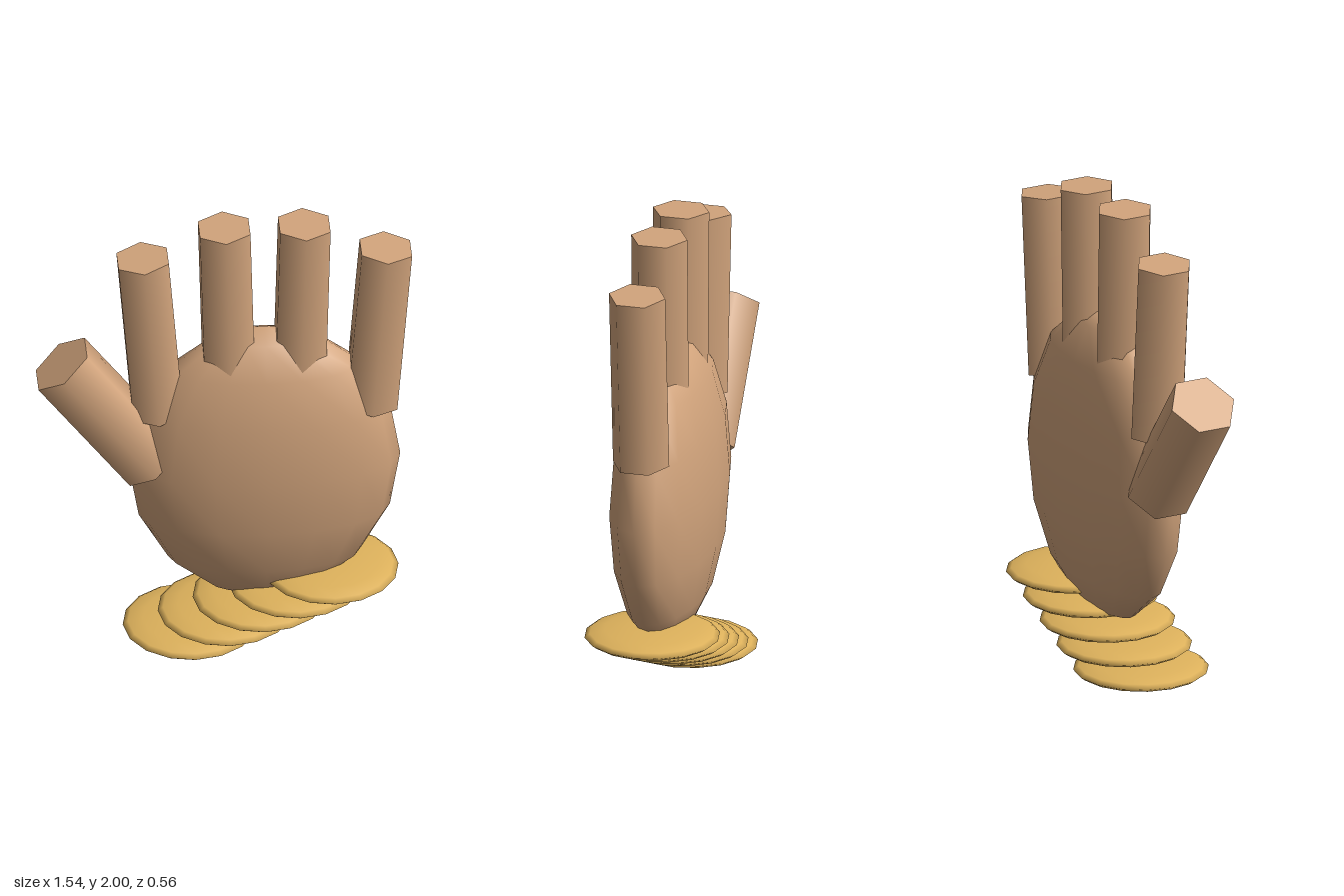
import * as THREE from 'three';

export function createModel() {
  const model = new THREE.Group();
  model.name = 'hand';

  const skin = new THREE.MeshStandardMaterial({ color: 0xd2a47c });
  skin.name = 'skin';
  const gold = new THREE.MeshStandardMaterial({ color: 0xdeb25c });
  gold.name = 'gold';

  const add = (name, geometry, material) => {
    const mesh = new THREE.Mesh(geometry, material);
    mesh.name = name;
    model.add(mesh);
    return mesh;
  };

  // Squashed low-poly sphere
  const ellipsoid = (name, material, center, radii) => {
    const mesh = add(name, new THREE.SphereGeometry(1, 16, 8), material);
    mesh.position.set(...center);
    mesh.scale.set(...radii);
  };

  // Six-sided digit running from base to tip in the xy plane
  const digit = (name, radius, base, tip) => {
    const dx = tip[0] - base[0];
    const dy = tip[1] - base[1];
    const mesh = add(name, new THREE.CylinderGeometry(radius, radius, Math.hypot(dx, dy), 6), skin);
    mesh.position.set((base[0] + tip[0]) / 2, (base[1] + tip[1]) / 2, 0);
    mesh.rotation.z = -Math.atan2(dx, dy);
  };

  // Palm
  const palmX = 0.165;
  ellipsoid('palm', skin, [palmX, 0.84, 0], [0.56, 0.66, 0.21]);

  // Four fingers, mirrored about the palm's centre line
  for (const [side, inner, outer] of [[-1, 'middleFinger', 'indexFinger'], [1, 'ringFinger', 'littleFinger']]) {
    digit(inner, 0.12, [palmX + side * 0.145, 1.23], [palmX + side * 0.165, 1.997]);
    digit(outer, 0.12, [palmX + side * 0.44, 1.103], [palmX + side * 0.501, 1.863]);
  }

  // Thumb
  digit('thumb', 0.145, [-0.293, 0.857], [-0.67, 1.355]);

  // Staggered stack of wrist discs
  for (let i = 0; i < 5; i++) {
    ellipsoid('wristDisc' + (i + 1), gold, [-0.138 + 0.144 * i, 0.043 + 0.0615 * i, 0], [0.28, 0.04, 0.28]);
  }

  return model;
}
